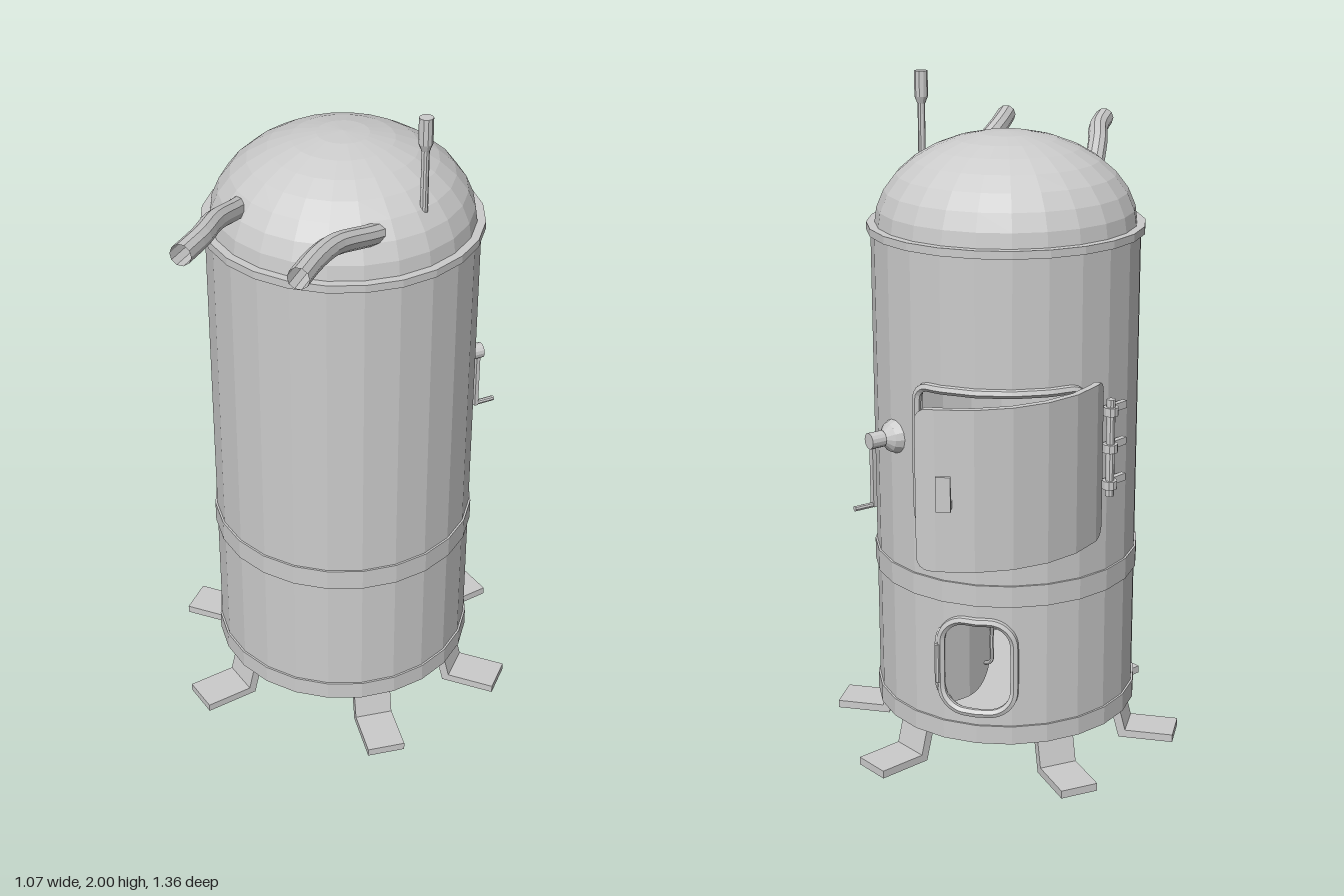
import * as THREE from 'three';

const STEP = 15;            // degrees per wall facet (24 sides)
const R = 0.393;            // outer radius of the wall
const CZ = -0.02;           // z of the body axis
const rad = THREE.MathUtils.degToRad;
const mat = new THREE.MeshStandardMaterial({ color: 0xcccccc, flatShading: true, side: THREE.DoubleSide });

function add(parent, name, geometry, x = 0, y = 0, z = 0) {
  const mesh = new THREE.Mesh(geometry, mat);
  mesh.name = name;
  mesh.position.set(x, y, z);
  parent.add(mesh);
  return mesh;
}

// Point at azimuth a (degrees from +x towards +z) on a 24-sided wall of corner radius r
function wallPoint(a, r, y) {
  const off = ((a % STEP) + STEP) % STEP - STEP / 2;
  const q = r * Math.cos(rad(STEP / 2)) / Math.cos(rad(off));
  return new THREE.Vector3(q * Math.cos(rad(a)), y, q * Math.sin(rad(a)));
}

// Group standing on the wall: local +x points outward
function onWall(parent, name, a, y = 0) {
  const g = new THREE.Group();
  g.name = name;
  g.rotation.y = -rad(a);
  g.position.y = y;
  parent.add(g);
  return g;
}

// Curved slab from azimuth a0 to a1, with bottom lo(a) and top hi(a)
function panel(a0, a1, lo, hi, r, thick, extra = 0) {
  const angles = [a0, a1];
  for (let a = Math.ceil(a0 / STEP) * STEP; a < a1; a += STEP) if (a > a0) angles.push(a);
  for (let i = 1; i < extra; i++) angles.push(a0 + (a1 - a0) * (1 - Math.cos(Math.PI * i / extra)) / 2);
  angles.sort((p, q) => p - q);
  const pos = [], idx = [], n = angles.length;
  for (const a of angles) {
    const l = lo(a), h = hi(a);
    for (const [q, y] of [[r - thick, l], [r, l], [r, h], [r - thick, h]]) pos.push(...wallPoint(a, q, y).toArray());
  }
  for (let i = 0; i < n - 1; i++) for (let k = 0; k < 4; k++) {
    const p = i * 4 + k, q = i * 4 + (k + 1) % 4;
    idx.push(p, q, q + 4, p, q + 4, p + 4);
  }
  const e = (n - 1) * 4;
  idx.push(0, 3, 2, 0, 2, 1, e, e + 1, e + 2, e, e + 2, e + 3);
  const g = new THREE.BufferGeometry();
  g.setAttribute('position', new THREE.Float32BufferAttribute(pos, 3));
  g.setIndex(idx);
  g.computeVertexNormals();
  return g;
}

// Rounded rectangle on the wall: its edges as functions of azimuth
function rounded(a0, a1, y0, y1, c) {
  const cut = (a) => {
    const d = Math.min(c, rad(Math.max(0, Math.min(a - a0, a1 - a))) * R);
    return c - Math.sqrt(Math.max(0, c * c - (c - d) ** 2));
  };
  return { a0, a1, lo: (a) => y0 + cut(a), hi: (a) => y1 - cut(a) };
}

// Wall section between two heights with one opening, and a raised trim round it
function wallWithOpening(parent, name, y0, y1, o) {
  const low = () => y0, high = () => y1;
  add(parent, name, panel(o.a1, o.a0 + 360, low, high, R, 0.02));
  add(parent, name + 'Sill', panel(o.a0, o.a1, low, o.lo, R, 0.02, 20));
  add(parent, name + 'Lintel', panel(o.a0, o.a1, o.hi, high, R, 0.02, 20));
  const pts = [], n = 24;
  for (const [edge, dir] of [[o.lo, 1], [o.hi, -1]]) {
    for (let i = 0; i <= n; i++) {
      const t = (1 - Math.cos(Math.PI * i / n)) / 2;
      const a = dir > 0 ? o.a0 + t * (o.a1 - o.a0) : o.a1 - t * (o.a1 - o.a0);
      pts.push(wallPoint(a, R + 0.004, edge(a)));
    }
  }
  const path = new THREE.CatmullRomCurve3(pts, true, 'centripetal');
  add(parent, name + 'Trim', new THREE.TubeGeometry(path, 120, 0.013, 6, true));
}

// Door built closed on the wall, then swung by the given angle about its hinge
function swingDoor(parent, name, hingeAz, hingeR, swing) {
  const x = hingeR * Math.cos(rad(hingeAz)), z = hingeR * Math.sin(rad(hingeAz));
  const pivot = new THREE.Group(), closed = new THREE.Group();
  pivot.name = name;
  pivot.position.set(x, 0, z);
  pivot.rotation.y = rad(swing);
  closed.position.set(-x, 0, -z);
  pivot.add(closed);
  parent.add(pivot);
  return closed;
}

export function createModel() {
  const model = new THREE.Group();
  model.name = 'boilerStove';
  const body = new THREE.Group();
  body.name = 'body';
  body.position.z = CZ;
  model.add(body);

  // Wall, floor, bands and rim
  wallWithOpening(body, 'lowerWall', 0.115, 0.6, rounded(254, 286, 0.21, 0.5, 0.075));
  wallWithOpening(body, 'upperWall', 0.6, 1.59, rounded(224, 297, 0.77, 1.19, 0.04));
  add(body, 'floor', new THREE.CylinderGeometry(0.39, 0.39, 0.015, 24), 0, 0.1225, 0);
  for (const [name, y0, y1, r] of [['baseBand', 0.113, 0.17, 0.399], ['middleBand', 0.55, 0.615, 0.399], ['topRim', 1.572, 1.595, 0.405]])
    add(body, name, panel(0, 360, () => y0, () => y1, r, 0.03));

  // Dome
  const dome = [];
  for (let i = 0; i <= 8; i++) {
    const t = (i / 8) * Math.PI / 2;
    dome.push(new THREE.Vector2(0.382 * Math.cos(t), 1.585 + 0.27 * Math.sin(t)));
  }
  dome[8].x = 0;
  add(body, 'dome', new THREE.LatheGeometry(dome, 24));

  // Six bent strap legs
  const strap = new THREE.Shape([[0.335, 0.125], [0.368, 0], [0.535, 0], [0.535, 0.024], [0.388, 0.024], [0.362, 0.125]]
    .map(([x, y]) => new THREE.Vector2(x, y)));
  const legGeo = new THREE.ExtrudeGeometry(strap, { depth: 0.115, bevelEnabled: false });
  legGeo.translate(0, 0, -0.0575);
  for (const a of [0, 54, 126, 180, 234, 306]) add(onWall(body, 'leg', a), 'legStrap', legGeo);

  // Two bent pipes leaving the dome at the front
  for (const [name, pts] of [
    ['rightPipe', [[-0.215, 1.685, 0.18], [-0.205, 1.71, 0.27], [-0.188, 1.76, 0.43], [-0.168, 1.78, 0.55], [-0.165, 1.792, 0.675]]],
    ['leftPipe', [[0.205, 1.685, 0.18], [0.185, 1.71, 0.27], [0.152, 1.76, 0.43], [0.148, 1.78, 0.55], [0.155, 1.792, 0.675]]],
  ]) {
    const path = new THREE.CatmullRomCurve3(pts.map((p) => new THREE.Vector3(...p)));
    add(model, name, new THREE.TubeGeometry(path, 12, 0.03, 10, false));
  }

  // Whistle on the dome
  add(model, 'whistleRod', new THREE.CylinderGeometry(0.011, 0.011, 0.24, 10), 0.285, 1.8, 0.11);
  add(model, 'whistleNeck', new THREE.CylinderGeometry(0.02, 0.012, 0.02, 10), 0.285, 1.915, 0.11);
  add(model, 'whistleHead', new THREE.CylinderGeometry(0.02, 0.02, 0.075, 10), 0.285, 1.9625, 0.11);

  // Large door, swung open on the back
  const big = swingDoor(body, 'largeDoor', 213.5, 0.413, 31.5);
  const bigEdge = rounded(217, 308, 0.745, 1.21, 0.035);
  add(big, 'largeDoorPanel', panel(217, 308, bigEdge.lo, bigEdge.hi, 0.41, 0.02, 24));
  const latch = onWall(big, 'largeDoorHandle', 296, 0);
  add(latch, 'handleStub', new THREE.BoxGeometry(0.04, 0.022, 0.036), 0.425, 0.945, 0);
  add(latch, 'handleGrip', new THREE.BoxGeometry(0.01, 0.1, 0.04), 0.445, 0.985, 0);

  // Hinge of the large door
  const hinge = onWall(body, 'largeHinge', 211, 1);
  add(hinge, 'hingePin', new THREE.CylinderGeometry(0.013, 0.013, 0.29, 10), 0.418, 0, 0.01);
  for (const y of [-0.11, 0, 0.11]) {
    add(hinge, 'hingePlate', new THREE.BoxGeometry(0.016, 0.022, 0.09), 0.402, y, -0.025);
    add(hinge, 'hingeKnuckle', new THREE.CylinderGeometry(0.022, 0.022, 0.025, 10), 0.418, y, 0.01);
  }

  // Small ash door, swung open below
  const small = swingDoor(body, 'smallDoor', 287, 0.408, 62);
  const smallEdge = rounded(255, 287, 0.21, 0.5, 0.085);
  add(small, 'smallDoorPanel', panel(255, 287, smallEdge.lo, smallEdge.hi, 0.41, 0.014, 20));
  const grip = onWall(small, 'smallDoorHandle', 258.5, 0);
  const gripPath = new THREE.CatmullRomCurve3([[0.4, 0.285], [0.428, 0.295], [0.43, 0.36], [0.428, 0.425], [0.4, 0.435]]
    .map(([x, y]) => new THREE.Vector3(x, y, 0)));
  add(grip, 'smallDoorGrip', new THREE.TubeGeometry(gripPath, 16, 0.006, 6, false));
  const ashHinge = onWall(body, 'smallHinge', 287, 0.355);
  add(ashHinge, 'smallHingePin', new THREE.CylinderGeometry(0.009, 0.009, 0.12, 8), 0.406, 0, 0);

  // Crank valve beside the large door
  const crank = onWall(body, 'crank', 313, 1.01);
  const across = (name, r0, r1, x0, x1) => {
    add(crank, name, new THREE.CylinderGeometry(r1, r0, x1 - x0, 14), (x0 + x1) / 2, 0, 0).rotation.z = -Math.PI / 2;
  };
  across('crankFlange', 0.055, 0.042, 0.38, 0.41);
  across('crankCone', 0.042, 0.018, 0.41, 0.43);
  across('crankHub', 0.024, 0.024, 0.43, 0.475);
  add(crank, 'crankArm', new THREE.BoxGeometry(0.012, 0.2, 0.018), 0.463, -0.1, 0);
  add(crank, 'crankHandle', new THREE.CylinderGeometry(0.008, 0.008, 0.07, 8), 0.492, -0.195, 0).rotation.z = Math.PI / 2;

  return model;
}
